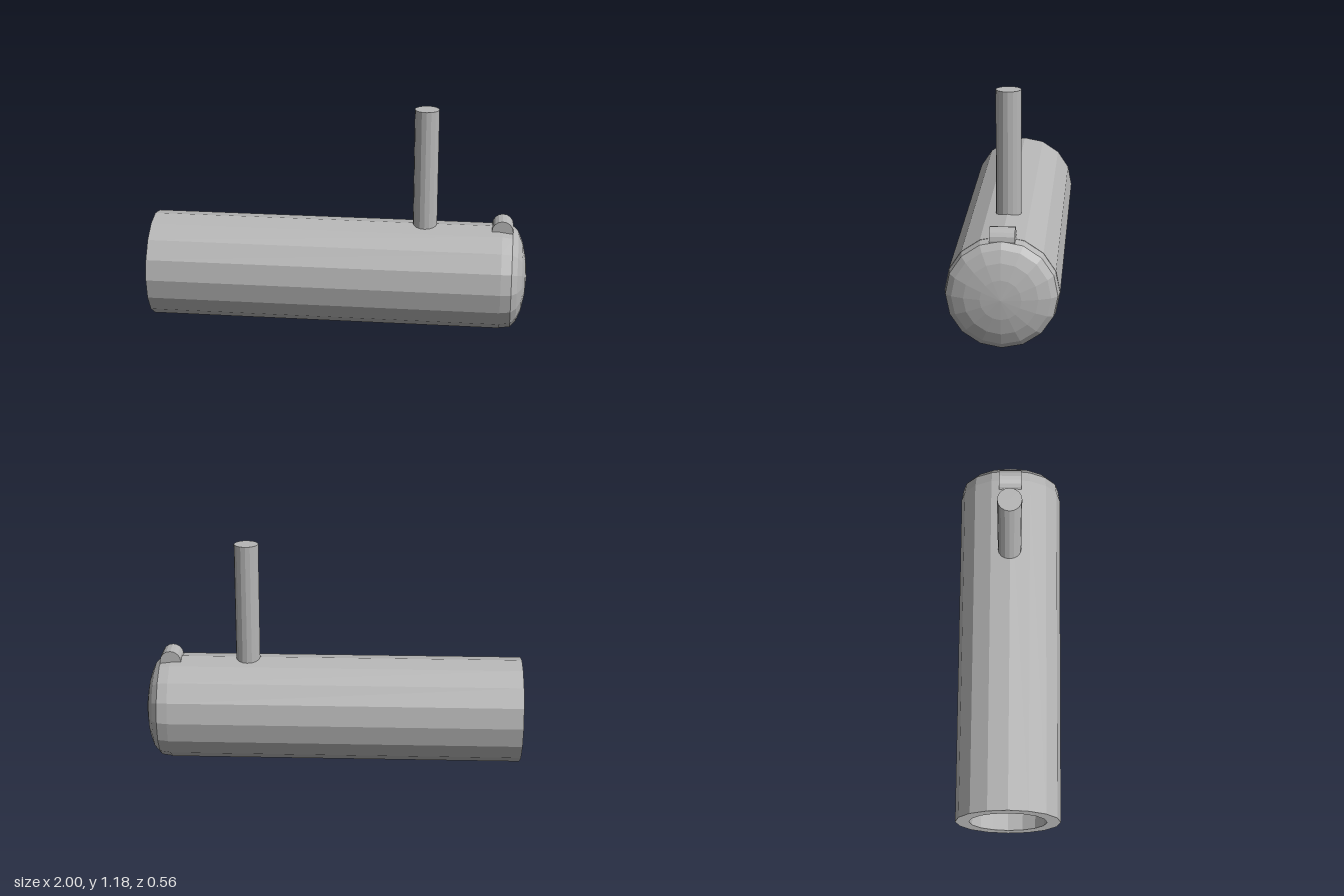
import * as THREE from 'three';

const SIDES = 16;
const AXIS_Y = 0.28;

// Lathe profile of [position along x, radius], turned about the barrel axis
function turned(profile, material, name) {
  const points = profile.map(([x, r]) => new THREE.Vector2(r, x));
  const geometry = new THREE.LatheGeometry(points, SIDES);
  geometry.rotateZ(-Math.PI / 2);
  const mesh = new THREE.Mesh(geometry, material);
  mesh.position.y = AXIS_Y;
  mesh.name = name;
  return mesh;
}

export function createModel() {
  const group = new THREE.Group();
  group.name = 'tubeWithPost';

  const grey = new THREE.MeshStandardMaterial({ color: 0xb6b6b6 });
  grey.name = 'grey';
  grey.flatShading = true;

  // Hollow barrel, open at the -x end
  group.add(turned(
    [[-1, 0.207], [-1, 0.28], [0.865, 0.28], [0.865, 0.207], [-1, 0.207]],
    grey, 'barrel'));

  // Domed cap closing the +x end
  group.add(turned(
    [[0.86, 0], [0.86, 0.279], [0.92, 0.271], [0.95, 0.24], [0.975, 0.18], [0.992, 0.1], [1, 0]],
    grey, 'endCap'));

  // Upright post
  const post = new THREE.Mesh(new THREE.CylinderGeometry(0.064, 0.064, 0.655, SIDES), grey);
  post.position.set(0.455, 0.53 + 0.655 / 2, -0.003);
  post.name = 'post';
  group.add(post);

  // Small cross pin half sunk into the top of the barrel
  const pinGeometry = new THREE.CylinderGeometry(0.056, 0.056, 0.124, SIDES);
  pinGeometry.rotateX(Math.PI / 2);
  const pin = new THREE.Mesh(pinGeometry, grey);
  pin.position.set(0.865, 0.55, -0.002);
  pin.name = 'crossPin';
  group.add(pin);

  return group;
}
